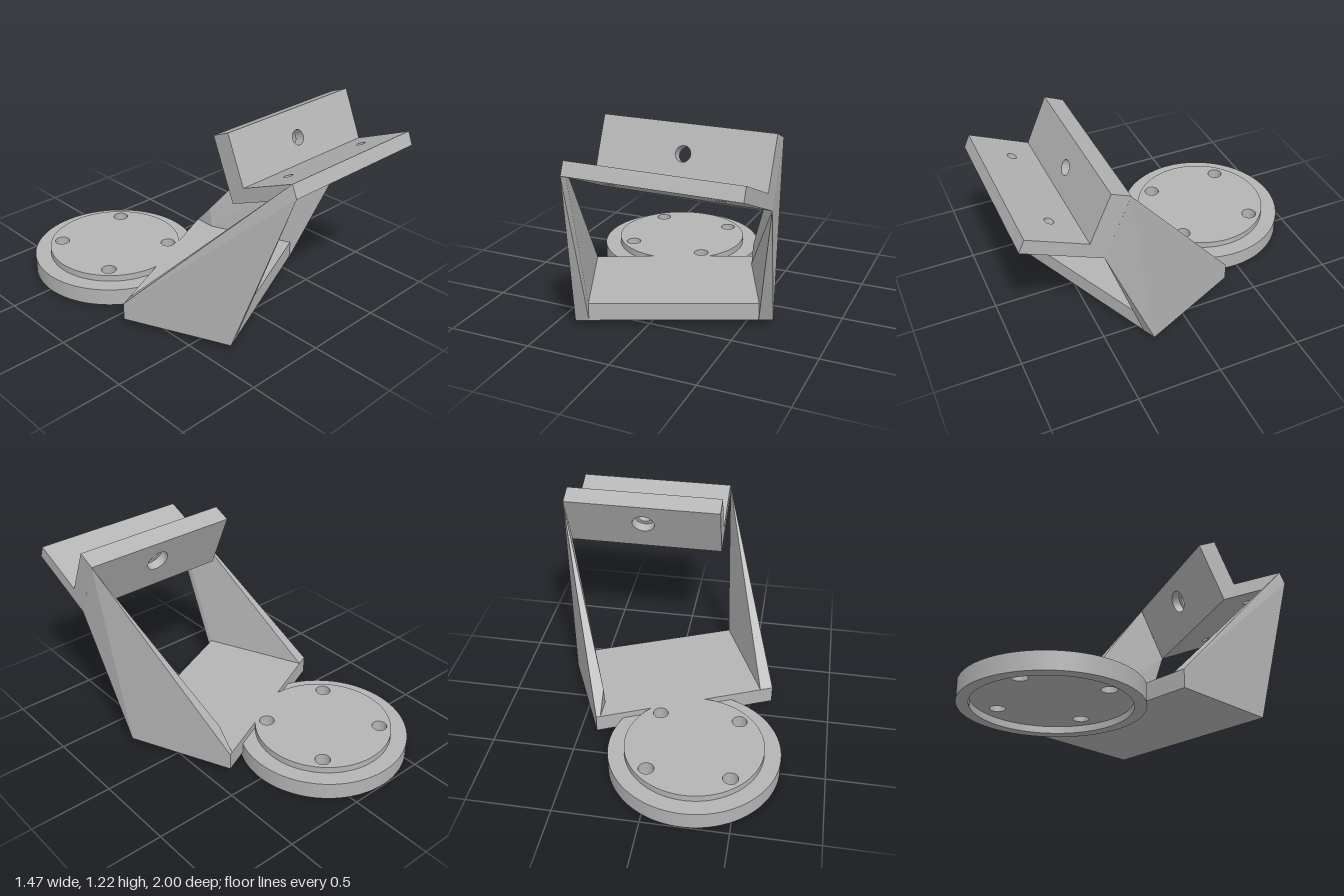
import * as THREE from 'three';
import { toCreasedNormals } from 'three/addons/utils/BufferGeometryUtils.js';
import { ConvexGeometry } from 'three/addons/geometries/ConvexGeometry.js';

export function createModel() {
  const model = new THREE.Group();
  const grey = new THREE.MeshStandardMaterial({ color: 0xb4b4b4 });
  grey.name = 'plain grey';

  const add = (parent, name, geometry) => {
    const mesh = new THREE.Mesh(geometry, grey);
    mesh.name = name;
    parent.add(mesh);
    return mesh;
  };
  const circle = (Type, x, y, r) => new Type().absarc(x, y, r, 0, Math.PI * 2, false);
  const polygon = (pts) => new THREE.Shape(pts.map(([x, y]) => new THREE.Vector2(x, y)));

  // Slab cut from an outline, holes given as [x, y, radius]
  const slab = (shape, holes, depth) => {
    shape.holes = holes.map(([x, y, r]) => circle(THREE.Path, x, y, r));
    const g = new THREE.ExtrudeGeometry(shape, { depth, bevelEnabled: false, curveSegments: 64 });
    return toCreasedNormals(g, 0.5);
  };
  // Same slab lying flat: outline y becomes -z, thickness rises from y0 to y1
  const flat = (shape, holes, y0, y1) =>
    slab(shape, holes, y1 - y0).rotateX(-Math.PI / 2).translate(0, y0, 0);

  // Round mounting flange: recessed underside, raised face, four bolt holes
  const flange = new THREE.Group();
  flange.name = 'flange';
  flange.position.set(-0.23, 0, -0.49);
  model.add(flange);
  const bolts = [];
  for (const x of [-1, 1]) for (const z of [-1, 1]) bolts.push([x * 0.24, z * 0.24, 0.045]);
  const disc = (r) => circle(THREE.Shape, 0, 0, r);
  add(flange, 'flangeRim', flat(disc(0.507), [[0, 0, 0.44]], 0, 0.04));
  add(flange, 'flangePlate', flat(disc(0.507), bolts, 0.04, 0.105));
  add(flange, 'flangeRaisedFace', flat(disc(0.41), bolts, 0.105, 0.145));

  // Base plate, turned about the vertical
  const low = 0.04, high = 0.145;
  const corners = [[-0.64, 0.1], [-0.37, 0.702], [0.66, 0.25], [0.388, -0.355]];
  add(model, 'basePlate', flat(polygon(corners.map(([x, z]) => [x, -z])), [], low, high));

  // Arms: a strip at each end of the base drawn up to an edge of the bracket
  const arm = (name, strip, top) => {
    const pts = strip.flatMap(([x, z]) => [low, high].map((y) => new THREE.Vector3(x, y, z)));
    top.forEach((p) => pts.push(new THREE.Vector3(...p)));
    add(model, name, new ConvexGeometry(pts));
  };
  arm('rightArm',
    [[-0.64, 0.1], [-0.37, 0.702], [-0.3, 0.67], [-0.567, 0.07]],
    [[-0.24, 1.088, 0.967], [-0.24, 1.015, 1]]);
  arm('leftArm',
    [[0.388, -0.355], [0.66, 0.25], [0.585, 0.285], [0.365, -0.208], [0.365, -0.344]],
    [[0.365, 0.268, -0.233], [0.73, 0.825, 0.565], [0.73, 1.172, 0.413]]);

  // Tilted L-shaped bracket
  const bracket = new THREE.Group();
  bracket.name = 'bracket';
  bracket.position.set(0, 0.825, 0.565);
  bracket.rotation.x = -0.412;
  model.add(bracket);
  const x0 = -0.24, x1 = 0.73;
  const rect = (a, b) => polygon([[x0, a], [x1, a], [x1, b], [x0, b]]);

  // Shelf with two screw holes
  add(bracket, 'bracketShelf',
    flat(rect(-0.475, -0.115), [[-0.06, -0.275, 0.026], [0.55, -0.275, 0.026]], 0, 0.08));

  // Back wall with a hole that is counterbored from behind
  add(bracket, 'bracketWallRear', slab(rect(0, 0.38), [[0.245, 0.22, 0.07]], 0.055));
  add(bracket, 'bracketWallFront', slab(rect(0, 0.38), [[0.245, 0.22, 0.043]], 0.06))
    .position.z = 0.055;

  return model;
}
